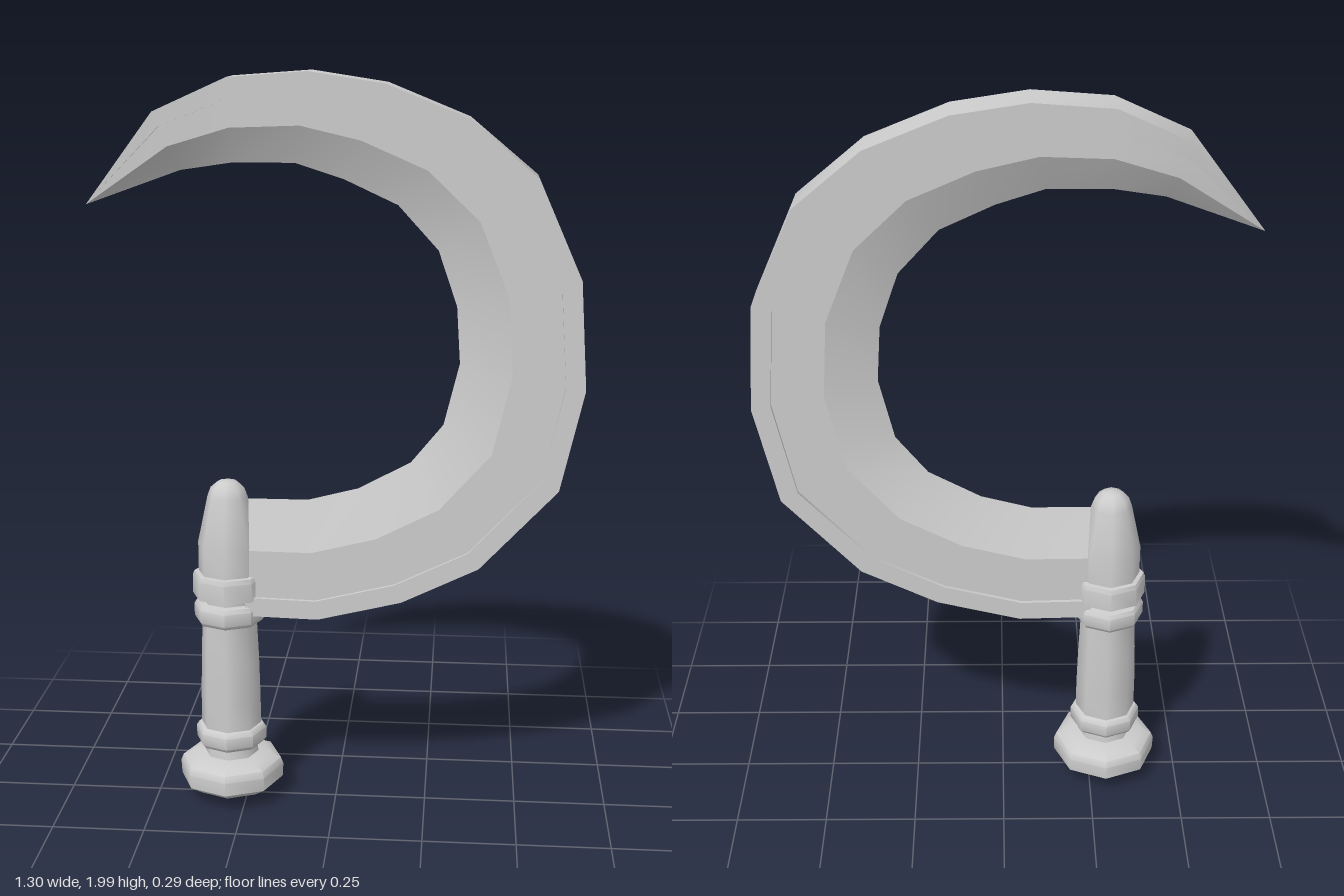
import * as THREE from 'three';
import { toCreasedNormals } from 'three/addons/utils/BufferGeometryUtils.js';

const HANDLE_X = -0.293;

// Blade stations from tip to handle: spine (outer) and cutting edge (inner) in x, y
const SPINE = [
  [-0.65, 1.66], [-0.46, 1.9], [-0.27, 1.985], [-0.065, 2], [0.13, 1.97], [0.34, 1.885], [0.515, 1.74],
  [0.63, 1.485], [0.65, 1.2], [0.59, 0.93], [0.385, 0.71], [0.18, 0.61], [-0.045, 0.555], [-0.24, 0.56],
];
const EDGE = [
  [-0.65, 1.66], [-0.4, 1.75], [-0.265, 1.77], [-0.105, 1.77], [0.02, 1.73], [0.16, 1.665], [0.265, 1.55],
  [0.315, 1.405], [0.325, 1.255], [0.285, 1.09], [0.2, 0.985], [0.06, 0.91], [-0.075, 0.875], [-0.26, 0.875],
];

// Cross-section at one station: thick rim, thinner body, bevel down to a sharp edge
function section(i) {
  const [ox, oy] = SPINE[i], [ix, iy] = EDGE[i];
  const width = Math.hypot(ix - ox, iy - oy);
  const rim = width ? Math.min(0.25, 0.052 / width) : 0;
  const s = i === 0 ? 0 : 1;
  const profile = [
    [0, 0.06], [rim, 0.06], [rim, 0.05], [0.58, 0.05], [1, 0],
    [0.58, -0.05], [rim, -0.05], [rim, -0.06], [0, -0.06],
  ];
  return profile.map(([f, z]) => [ox + (ix - ox) * f, oy + (iy - oy) * f, z * s]);
}

function geometryFrom(points, index) {
  const g = new THREE.BufferGeometry();
  g.setAttribute('position', new THREE.Float32BufferAttribute(points.flat(), 3));
  g.setIndex(index);
  g.computeVertexNormals();
  return g;
}

function buildBlade(material) {
  const blade = new THREE.Group();
  blade.name = 'blade';
  const rings = SPINE.map((_, i) => section(i));
  const names = ['rimFront', 'rimStepFront', 'bodyFront', 'bevelFront',
    'bevelBack', 'bodyBack', 'rimStepBack', 'rimBack', 'spine'];
  // One strip per side of the section, smooth along its length and sharp between strips
  names.forEach((name, k) => {
    const next = (k + 1) % names.length;
    const points = [], index = [];
    rings.forEach((ring, i) => {
      points.push(ring[k], ring[next]);
      if (i < rings.length - 1) {
        const a = i * 2;
        index.push(a, a + 1, a + 2, a + 2, a + 1, a + 3);
      }
    });
    const mesh = new THREE.Mesh(geometryFrom(points, index), material);
    mesh.name = name;
    blade.add(mesh);
  });
  // Flat end at the handle
  const cap = [];
  for (let j = 1; j < 8; j++) cap.push(4, (4 + j) % 9, (5 + j) % 9);
  const end = new THREE.Mesh(geometryFrom(rings[rings.length - 1], cap), material);
  end.name = 'bladeEnd';
  blade.add(end);
  return blade;
}

export function createModel() {
  const model = new THREE.Group();
  model.name = 'sickle';
  const steel = new THREE.MeshStandardMaterial({ color: 0xcccccc });
  steel.name = 'grey';

  model.add(buildBlade(steel));

  // Eight-sided turned handle parts: radius, height
  const handle = new THREE.Group();
  handle.name = 'handle';
  handle.position.x = HANDLE_X;
  const turned = {
    pommel: [[0, 0.008], [0.06, 0.018], [0.105, 0.037], [0.143, 0.062], [0.145, 0.1], [0.138, 0.118],
      [0.11, 0.132], [0.075, 0.137], [0.07, 0.175]],
    lowerRing: [[0.07, 0.163], [0.09, 0.168], [0.098, 0.178], [0.098, 0.21], [0.09, 0.222], [0.07, 0.226]],
    grip: [[0.083, 0.22], [0.083, 0.3], [0.08, 0.42], [0.075, 0.535]],
    upperRing: [[0.07, 0.525], [0.09, 0.528], [0.097, 0.538], [0.097, 0.572], [0.09, 0.583], [0.07, 0.586]],
    neck: [[0.072, 0.58], [0.072, 0.61]],
    collar: [[0.07, 0.6], [0.1, 0.603], [0.1, 0.655], [0.095, 0.667], [0.07, 0.67]],
    socket: [[0.083, 0.66], [0.083, 0.75], [0.068, 0.82], [0.055, 0.88], [0.046, 0.905], [0.026, 0.922], [0, 0.927]],
  };
  for (const [name, profile] of Object.entries(turned)) {
    const lathe = new THREE.LatheGeometry(profile.map(([r, y]) => new THREE.Vector2(r, y)), 8);
    const mesh = new THREE.Mesh(toCreasedNormals(lathe, 0.85), steel);
    mesh.name = name;
    handle.add(mesh);
  }
  model.add(handle);
  return model;
}
